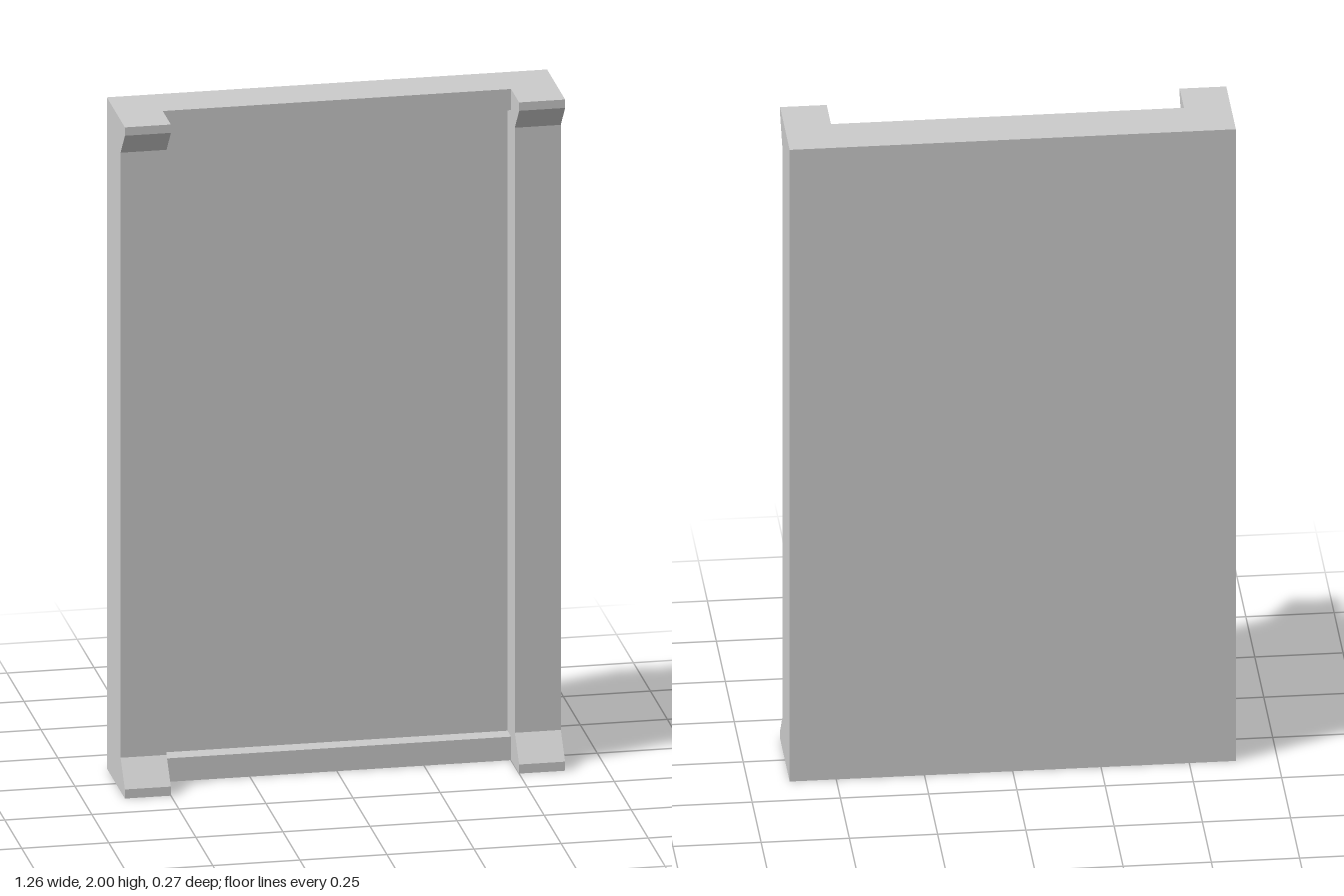
import * as THREE from 'three';

const HALF_W = 0.632, INNER = 0.5, BACK = -0.134, H = 2;

export function createModel() {
  const group = new THREE.Group();
  const material = new THREE.MeshStandardMaterial({ color: 0xcccccc, flatShading: true });

  const add = (name, geometry, x, y, z) => {
    const mesh = new THREE.Mesh(geometry, material);
    mesh.name = name;
    mesh.position.set(x, y, z);
    group.add(mesh);
  };

  // Horizontal slab between the posts, from the back plane to a given front depth
  const slab = (name, y0, y1, front) =>
    add(name, new THREE.BoxGeometry(2 * INNER, y1 - y0, front - BACK), 0, (y0 + y1) / 2, (front + BACK) / 2);

  slab('bottomRail', 0, 0.07, 0.013);
  slab('backPanel', 0.07, 1.937, -0.04);
  slab('topRail', 1.937, H, 0.013);

  // Side posts: (z, y) profile with flared lips at the foot and head
  const profile = new THREE.Shape([
    [BACK, 0], [0.132, 0], [0.132, 0.027], [0.068, 0.1],
    [0.068, 1.903], [0.132, 1.975], [0.132, H], [BACK, H],
  ].map(([z, y]) => new THREE.Vector2(z, y)));
  const width = HALF_W - INNER;
  const post = new THREE.ExtrudeGeometry(profile, { depth: width, bevelEnabled: false });
  post.translate(0, 0, -width / 2).rotateY(-Math.PI / 2);

  for (const [name, side] of [['leftPost', 1], ['rightPost', -1]]) {
    add(name, post, side * (HALF_W + INNER) / 2, 0, 0);
  }
  return group;
}
